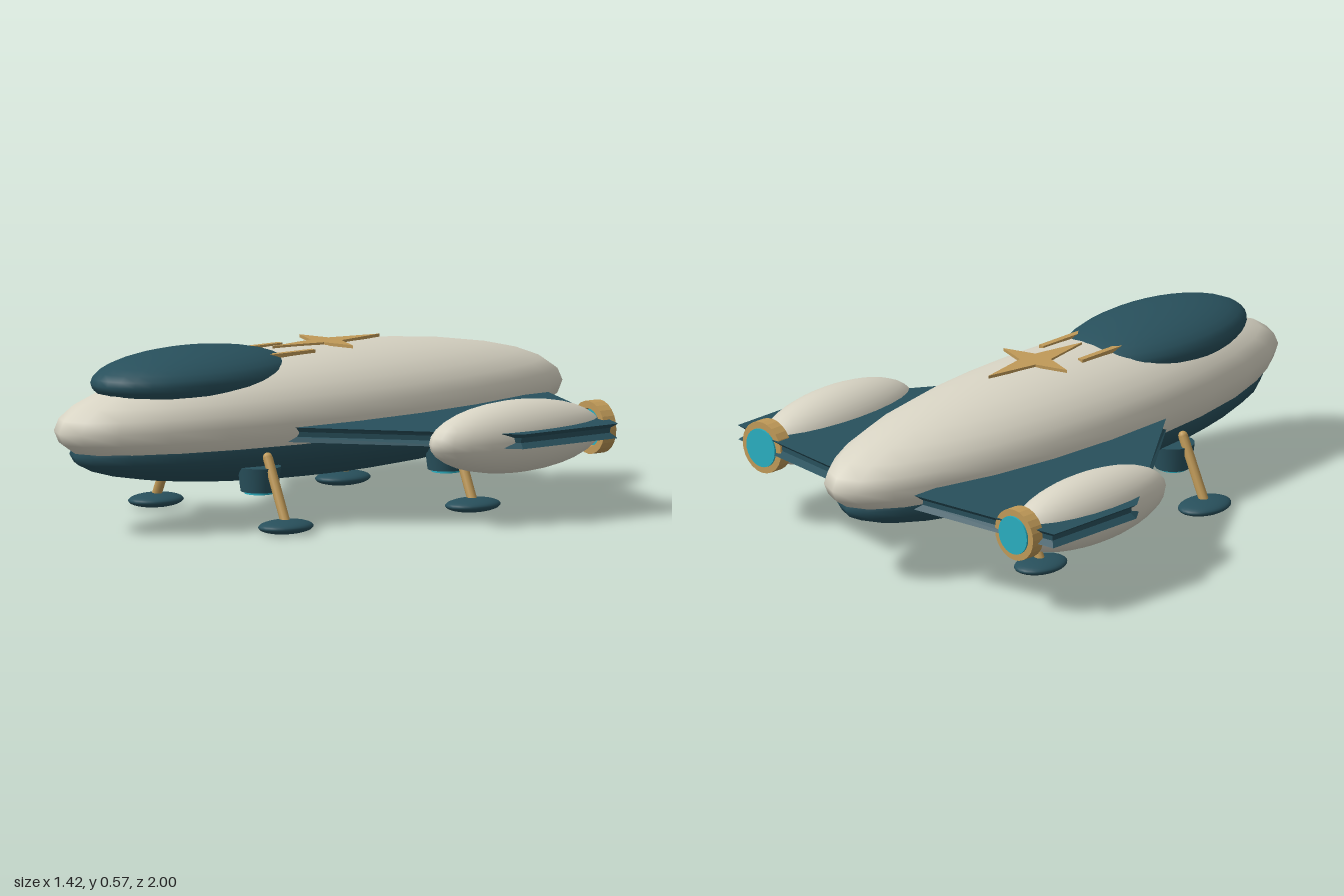
import * as THREE from 'three';

const paint = (color) => new THREE.MeshStandardMaterial({ color });

export function createModel() {
  const model = new THREE.Group();
  const cream = paint(0xd8d4c4), teal = paint(0x28505c), gold = paint(0xc09a58), cyan = paint(0x2aaec0);

  function add(name, geometry, material, x = 0, y = 0, z = 0) {
    const mesh = new THREE.Mesh(geometry, material);
    mesh.name = name;
    mesh.position.set(x, y, z);
    model.add(mesh);
    return mesh;
  }
  const ellipsoid = (rx, ry, rz, segs = 24) => new THREE.SphereGeometry(1, segs, 16).scale(rx, ry, rz);

  // Shape drawn in x and z, laid flat and extruded upwards
  function flatPlate(points, options) {
    const shape = new THREE.Shape(points.map(([x, z]) => new THREE.Vector2(x, -z)));
    return new THREE.ExtrudeGeometry(shape, options).rotateX(-Math.PI / 2);
  }

  // Fuselage
  add('hull', ellipsoid(0.28, 0.2, 1), cream, 0, 0.34, 0);
  add('belly', ellipsoid(0.26, 0.14, 0.94), teal, 0, 0.26, 0);
  add('canopy', ellipsoid(0.203, 0.095, 0.38, 32), teal, 0, 0.48, 0.465);

  // Four-pointed star on the back
  const star = [];
  for (let i = 0; i < 8; i++) {
    const a = (i * Math.PI) / 4;
    const [rx, rz] = i % 2 ? [0.05, 0.05] : [0.143, 0.215];
    star.push([rx * Math.cos(a), rz * Math.sin(a)]);
  }
  add('starEmblem', flatPlate(star, { depth: 0.01, bevelEnabled: false }), gold, 0, 0.535, -0.072);

  // Square-section nozzle ring around the z axis
  const ringProfile = [[0.062, -0.024], [0.086, -0.024], [0.086, 0.024], [0.062, 0.024], [0.062, -0.024]];
  const ringGeometry = () => {
    const pts = ringProfile.map(([r, h]) => new THREE.Vector2(r, h));
    const g = new THREE.LatheGeometry(pts, 24).toNonIndexed().rotateX(Math.PI / 2);
    g.computeVertexNormals();
    return g;
  };

  for (const s of [1, -1]) {
    const side = s > 0 ? 'left' : 'right';

    // Swept wing with a grooved edge, drooping slightly to the tip
    const outline = [[0.19, 0.355], [0.71, -0.33], [0.71, -0.71], [0.19, -0.82]];
    const wing = add(side + 'Wing', flatPlate(outline.map(([x, z]) => [s * x, z]), {
      depth: 0.016, bevelEnabled: true, bevelThickness: 0.016, bevelSize: -0.02, bevelSegments: 1,
    }), teal, 0, 0.306, 0);
    wing.rotation.z = -s * 0.05;

    // Engine pod, nozzle ring and glowing disc
    const px = s * 0.567, py = 0.273;
    add(side + 'EnginePod', ellipsoid(0.115, 0.117, 0.335), cream, px, py, -0.405);
    add(side + 'NozzleRing', ringGeometry(), gold, px, py, -0.722);
    add(side + 'EngineGlow', new THREE.CylinderGeometry(0.064, 0.064, 0.03, 24).rotateX(Math.PI / 2), cyan, px, py, -0.737);

    // Trim strip behind the canopy
    add(side + 'TrimStrip', new THREE.BoxGeometry(0.02, 0.02, 0.2), gold, s * 0.088, 0.527, 0.145);

    for (const [end, z] of [['Front', 0.35], ['Rear', -0.4]]) {
      // Lift thruster under the belly
      add(side + end + 'Thruster', new THREE.CylinderGeometry(0.07, 0.06, 0.08, 20), teal, s * 0.205, 0.161, z);
      add(side + end + 'ThrusterGlow', new THREE.CylinderGeometry(0.047, 0.047, 0.02, 20), cyan, s * 0.205, 0.123, z);

      // Splayed strut and oval foot pad
      const top = new THREE.Vector3(s * 0.25, 0.235, z);
      const foot = new THREE.Vector3(s * 0.348, 0.03, z);
      const path = new THREE.LineCurve3(foot, top);
      add(side + end + 'Strut', new THREE.TubeGeometry(path, 1, 0.016, 10), gold);
      add(side + end + 'StrutJoint', new THREE.SphereGeometry(0.016, 10, 8), gold, top.x, top.y, top.z);
      add(side + end + 'FootPad', ellipsoid(0.072, 0.023, 0.098), teal, s * 0.347, 0.023, z);
    }
  }
  return model;
}
